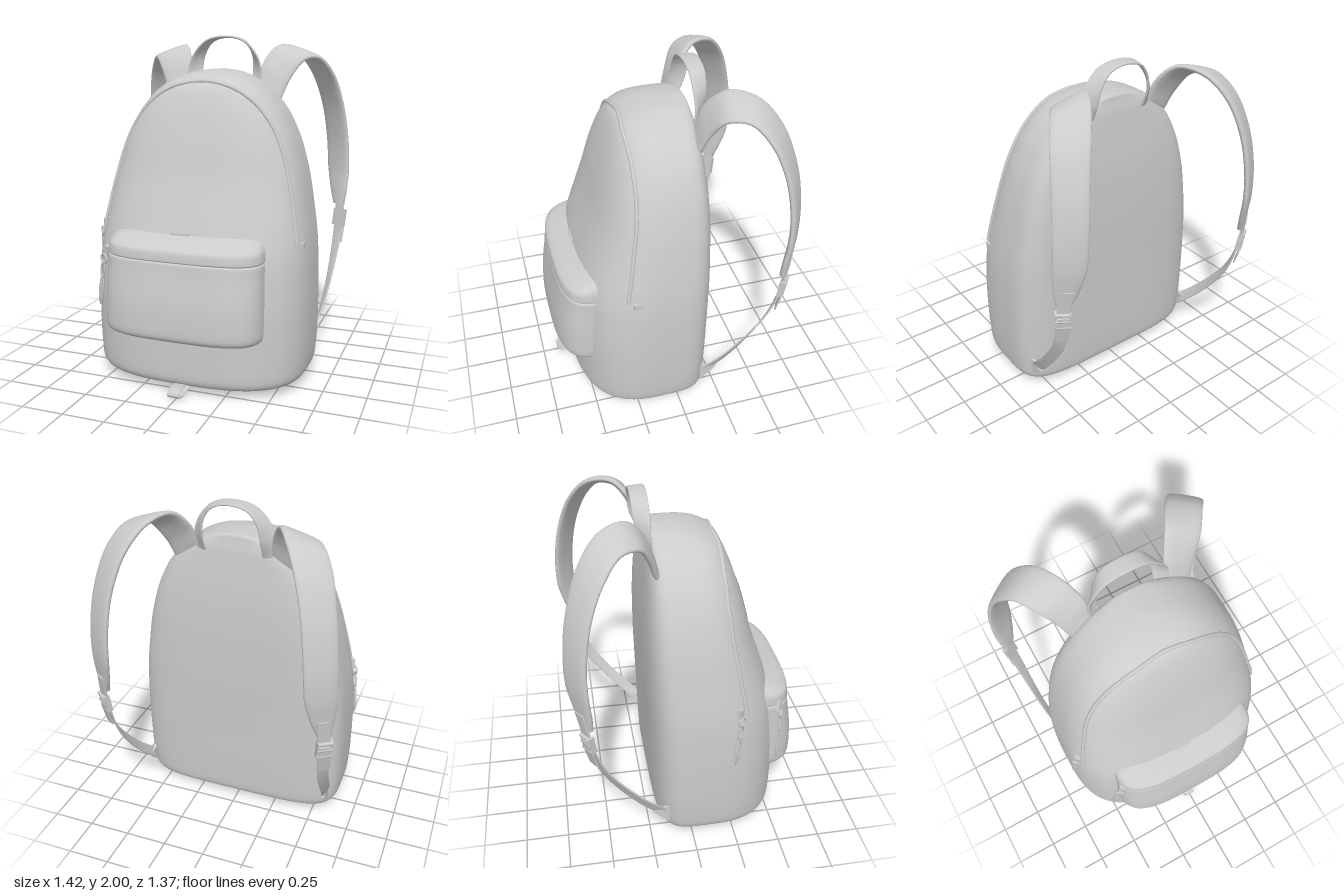
import * as THREE from 'three';

const V = (x, y, z) => new THREE.Vector3(x, y, z);
const mat = new THREE.MeshStandardMaterial({ color: 0xcccccc, side: THREE.DoubleSide });

function add(parent, name, geo, x = 0, y = 0, z = 0) {
  const m = new THREE.Mesh(geo, mat);
  m.name = name;
  m.position.set(x, y, z);
  parent.add(m);
  return m;
}

// Radius of a rounded square in direction (c, s)
const squircle = (c, s, n) => (Math.abs(c) ** n + Math.abs(s) ** n) ** (-1 / n);

// Skin over closed rings of points, with both ends capped
function skin(rings) {
  const M = rings[0].length, index = [];
  const centre = (r) => {
    const c = r.reduce((a, p) => a.add(p), V(0, 0, 0)).divideScalar(M);
    return r.map(() => c);
  };
  const first = rings[0], last = rings[rings.length - 1];
  // caps have their own rim, so the edge stays crisp
  const all = [centre(first), first, ...rings, last, centre(last)];
  for (let i = 0; i < all.length - 1; i++) {
    if (i === 1 || i === all.length - 3) continue;
    for (let j = 0; j < M; j++) {
      const a = i * M + j, b = i * M + (j + 1) % M;
      index.push(a, a + M, b, b, a + M, b + M);
    }
  }
  const g = new THREE.BufferGeometry().setFromPoints(all.flat());
  g.setIndex(index);
  g.computeVertexNormals();
  return g;
}

// Smooth level sections from rows of [height, half width, front z, back z]
function sections(rows) {
  const a = new THREE.CatmullRomCurve3(rows.map((r) => V(r[1], r[0], r[2])), false, 'catmullrom', 0.4);
  const b = new THREE.CatmullRomCurve3(rows.map((r) => V(r[3], r[0], 0)), false, 'catmullrom', 0.4);
  const n = (rows.length - 1) * 6;
  return Array.from({ length: n + 1 }, (_, i) => {
    const p = a.getPoint(i / n);
    return { y: p.y, w: p.x, zf: p.z, zb: b.getPoint(i / n).x };
  });
}
const middle = (s) => s.zb + 0.4 * (s.zf - s.zb);

function loft(secs, nFront, nBack, M = 96) {
  return skin(secs.map((s) => Array.from({ length: M }, (_, j) => {
    const t = (j / M) * Math.PI * 2, c = Math.cos(t), d = Math.sin(t), zm = middle(s);
    const r = squircle(c, d, d > 0 ? nFront : nBack);
    return V(s.w * c * r, s.y, zm + d * r * (d > 0 ? s.zf - zm : zm - s.zb));
  })));
}

// Band along pts; sides give the half-width vector at each point
function band(pts, sides, thick, n = 5, steps = 60, M = 24) {
  const path = new THREE.CatmullRomCurve3(pts), side = new THREE.CatmullRomCurve3(sides);
  const rings = [];
  for (let i = 0; i <= steps; i++) {
    const c = path.getPoint(i / steps), S = side.getPoint(i / steps);
    const N = path.getTangent(i / steps).cross(S).normalize();
    rings.push(Array.from({ length: M }, (_, j) => {
      const t = -(j / M) * Math.PI * 2, r = squircle(Math.cos(t), Math.sin(t), n);
      return c.clone().addScaledVector(S, Math.cos(t) * r).addScaledVector(N, Math.sin(t) * r * thick);
    }));
  }
  return skin(rings);
}

const FRONT_N = 2.8;
const bodySections = sections([
  [0.045, 0.57, 0.51, -0.16], [0.055, 0.61, 0.55, -0.19], [0.1, 0.635, 0.57, -0.205],
  [0.25, 0.647, 0.572, -0.212], [0.5, 0.648, 0.57, -0.218], [0.75, 0.638, 0.545, -0.224],
  [0.92, 0.62, 0.5, -0.228], [1.2, 0.57, 0.405, -0.228], [1.4, 0.513, 0.35, -0.22],
  [1.55, 0.443, 0.302, -0.207], [1.65, 0.367, 0.262, -0.197], [1.71, 0.298, 0.228, -0.19], [1.745, 0.24, 0.185, -0.183],
  [1.77, 0.185, 0.13, -0.178], [1.788, 0.13, 0.07, -0.175], [1.798, 0.07, 0.02, -0.17], [1.803, 0.015, -0.02, -0.165],
]);

// Front surface of the body at (x, y), between the two nearest sections
function frontZ(x, y) {
  const i = bodySections.findIndex((q) => q.y >= y);
  const a = bodySections[i - 1], b = bodySections[i], t = (y - a.y) / (b.y - a.y);
  const mix = THREE.MathUtils.lerp, m = mix(middle(a), middle(b), t);
  const u = Math.min(1, Math.abs(x) / mix(a.w, b.w, t));
  return m + (mix(a.zf, b.zf, t) - m) * (1 - u ** FRONT_N) ** (1 / FRONT_N);
}

// Zip pull hanging from (x, y, z): slider, ring, long link and end bar
function zipPull(name, x, y, z, tilt, turn) {
  const g = new THREE.Group();
  g.name = name;
  add(g, 'slider', new THREE.BoxGeometry(0.035, 0.06, 0.025));
  add(g, 'ring', new THREE.TorusGeometry(0.026, 0.006, 8, 24), 0, -0.045, 0.02);
  add(g, 'link', new THREE.TorusGeometry(0.018, 0.005, 8, 24), 0, -0.115, 0.02).scale.y = 2.6;
  add(g, 'pullTab', new THREE.TorusGeometry(0.016, 0.006, 8, 24), 0, -0.24, 0.02).scale.y = 4.4;
  add(g, 'pullBar', new THREE.CapsuleGeometry(0.008, 0.1, 4, 8), 0, -0.25, 0.02);
  g.position.set(x, y, z);
  g.rotation.set(0, turn, tilt, 'YZX');
  return g;
}

// One shoulder strap with its buckle and webbing; s = 1 is left, -1 is right
function shoulderStrap(s) {
  const g = new THREE.Group(), P = (x, y, z) => V(s * x, y, z);
  g.name = s > 0 ? 'leftStrap' : 'rightStrap';
  add(g, 'paddedStrap', band(
    [P(0.29, 1.68, -0.17), P(0.32, 1.79, -0.21), P(0.385, 1.893, -0.29), P(0.46, 1.888, -0.41), P(0.535, 1.775, -0.51),
      P(0.59, 1.58, -0.585), P(0.62, 1.36, -0.622), P(0.632, 1.17, -0.625), P(0.642, 1.02, -0.602), P(0.648, 0.93, -0.588)],
    [P(0.075, -0.05, 0.01), P(0.085, -0.052, 0.015), P(0.09, -0.045, 0.035), P(0.088, -0.025, 0.05), P(0.082, -0.01, 0.058),
      P(0.076, 0, 0.055), P(0.076, 0, 0.052), P(0.074, 0, 0.05), P(0.055, 0, 0.038), P(0.034, 0, 0.024)],
    0.02, 3, 90));
  const w = P(0.03, 0, 0.02);
  add(g, 'strapTab', band([P(0.646, 1.03, -0.623), P(0.652, 0.95, -0.607), P(0.655, 0.85, -0.59)], [w, w, w], 0.007, 8, 12));
  add(g, 'webbing', band(
    [P(0.655, 0.9, -0.595), P(0.65, 0.75, -0.565), P(0.64, 0.6, -0.51), P(0.63, 0.45, -0.41), P(0.612, 0.3, -0.285), P(0.585, 0.19, -0.175)],
    [w, P(0.029, 0.002, 0.02), P(0.025, 0.008, 0.022), P(0.02, 0.015, 0.022), P(0.016, 0.022, 0.02), P(0.012, 0.028, 0.016)], 0.005, 8));
  add(g, 'webbingTail', band([P(0.66, 0.86, -0.605), P(0.66, 0.78, -0.59), P(0.652, 0.68, -0.565)], [w, w, w], 0.005, 8, 12));

  // ladder buckle: two rails and three bars
  const buckle = new THREE.Group();
  buckle.name = 'buckle';
  for (const x of [-0.038, 0.038]) add(buckle, 'rail', new THREE.BoxGeometry(0.012, 0.11, 0.03), x);
  for (const y of [-0.045, 0, 0.045])
    add(buckle, 'bar', new THREE.CylinderGeometry(0.011, 0.011, 0.08, 12).rotateZ(Math.PI / 2), 0, y, -0.012);
  buckle.position.copy(P(0.655, 0.84, -0.587));
  buckle.rotation.set(-0.15, -s * 0.59, 0, 'YXZ');
  g.add(buckle);

  // triangular anchor sewn into the lower back corner
  const tri = new THREE.Shape([[0.13, 0.235], [0.14, 0.11], [0.24, 0.2]].map(([a, b]) => new THREE.Vector2(a, b)));
  const anchor = new THREE.ExtrudeGeometry(tri, { depth: 0.016, bevelEnabled: false }).rotateY(Math.PI / 2);
  add(g, 'anchor', anchor, s * 0.588 - 0.008, 0, 0);
  return g;
}

export function createModel() {
  const model = new THREE.Group();
  model.name = 'backpack';
  add(model, 'body', loft(bodySections, FRONT_N, 4.6));

  // Front pocket with a stitched groove below its flap
  add(model, 'frontPocket', loft(sections([
    [0.335, 0.41, 0.6, 0.28], [0.345, 0.445, 0.655, 0.28], [0.385, 0.465, 0.684, 0.28], [0.55, 0.466, 0.678, 0.28],
    [0.72, 0.461, 0.652, 0.28], [0.776, 0.459, 0.645, 0.28], [0.786, 0.453, 0.638, 0.28], [0.796, 0.459, 0.643, 0.28],
    [0.845, 0.455, 0.635, 0.28], [0.872, 0.445, 0.6, 0.28], [0.893, 0.43, 0.55, 0.28], [0.915, 0.4, 0.49, 0.28],
  ]), 3.3, 6));
  add(model, 'pocketTab', new THREE.BoxGeometry(0.11, 0.012, 0.02), -0.02, 0.915, 0.5);

  // Arched zip seam around the front panel
  const half = [[0.592, 0.86], [0.567, 1.0], [0.535, 1.15], [0.482, 1.35], [0.413, 1.5], [0.315, 1.62], [0.18, 1.705]];
  const arch = [...half, [0, 1.738], ...half.map(([x, y]) => [-x, y]).reverse()];
  const flat = new THREE.CatmullRomCurve3(arch.map(([x, y]) => V(x, y, 0))).getPoints(60);
  const seam = new THREE.CatmullRomCurve3(flat.map((p) => V(p.x, p.y, frontZ(p.x, p.y))));
  add(model, 'zipSeam', new THREE.TubeGeometry(seam, 160, 0.012, 8));
  add(model, 'zipStop', new THREE.BoxGeometry(0.02, 0.03, 0.05), 0.612, 0.85, 0.25);

  // Oval patch following the front panel
  const patch = new THREE.RingGeometry(0.001, 1, 48, 8), p = patch.attributes.position;
  for (let i = 0; i < p.count; i++) {
    const x = p.getX(i) * 0.143, y = 1.3 + p.getY(i) * 0.16;
    p.setXYZ(i, x, y, frontZ(x, y) + 0.006);
  }
  patch.computeVertexNormals();
  add(model, 'patch', patch);

  // Top carry handle
  const hp = [[0.2, 1.7, -0.18], [0.2, 1.8, -0.205], [0.175, 1.89, -0.211], [0.11, 1.967, -0.213]];
  const hs = [[0.035, 0, 0.015], [0.034, 0.005, 0.033], [0.02, 0.005, 0.042], [0.006, 0.002, 0.046]];
  const mirrored = (a, mid) => [...a.map((q) => V(...q)), V(...mid), ...a.map(([x, y, z]) => V(-x, y, z)).reverse()];
  // half-width vectors mirror in x, so both ends lean the same way
  add(model, 'carryHandle', band(mirrored(hp, [0, 1.992, -0.213]), mirrored(hs, [0, 0, 0.047]), 0.007, 6));

  // Folded loop under the base
  const loop = [[0.2, 0.044], [0.4, 0.042], [0.52, 0.012], [0.61, 0.007], [0.655, 0.03], [0.635, 0.055], [0.55, 0.055], [0.44, 0.046]];
  add(model, 'baseLoop', band(loop.map(([z, y]) => V(-0.005, y, z)), loop.map(() => V(0.034, 0, 0)), 0.004, 8));

  for (const s of [1, -1]) model.add(shoulderStrap(s));
  model.add(zipPull('mainZipPull', -0.605, 0.88, 0.26, -0.13, -0.9));
  model.add(zipPull('pocketZipPull', -0.455, 0.79, 0.53, -0.18, -0.5));
  return model;
}
